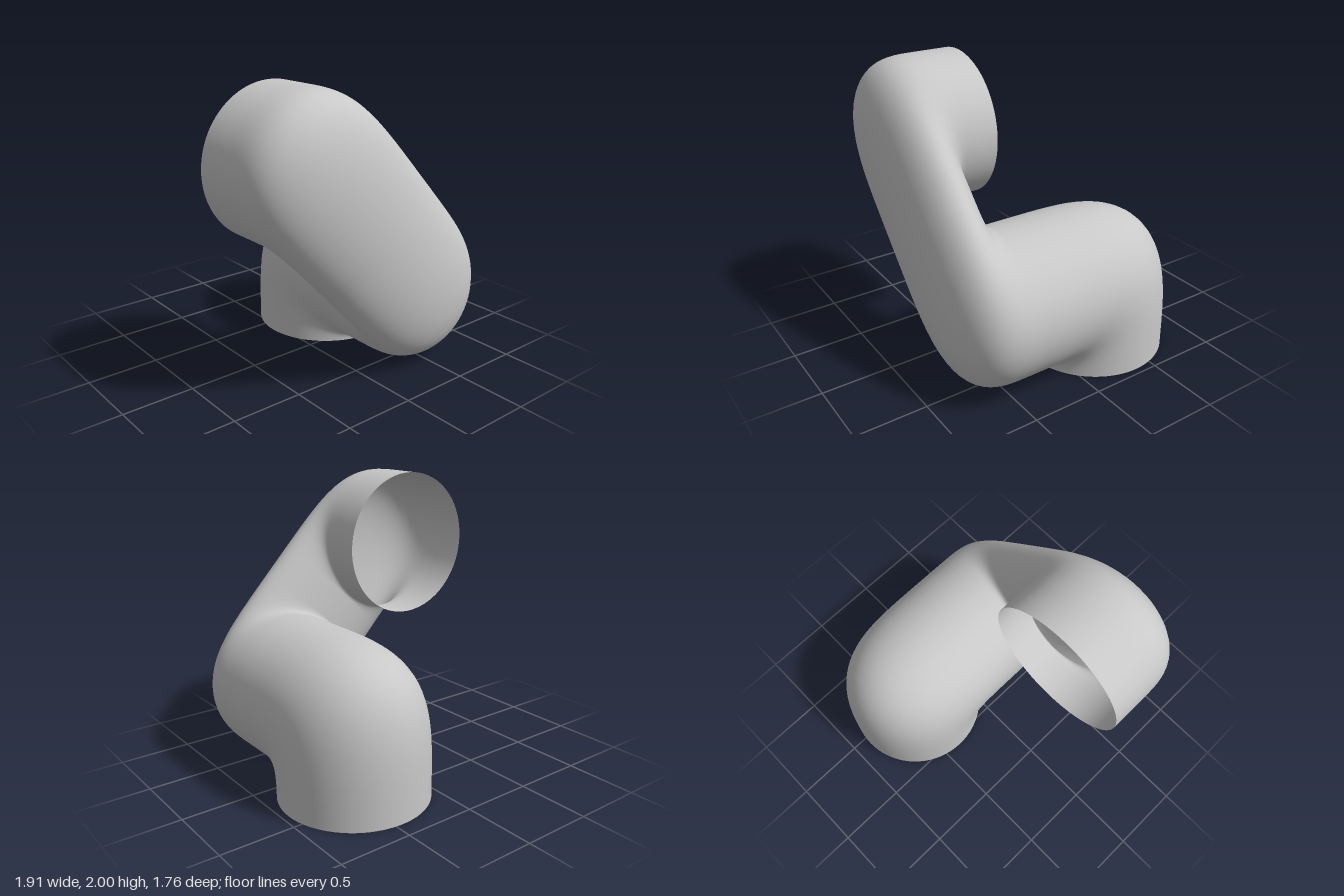
import * as THREE from 'three';

const R = 0.51;       // pipe radius
const FLAT = 0.463;   // depth of the flattened diagonal run
const SIDES = 72, STEPS = 28;
const V = (x, y, z) => new THREE.Vector3(x, y, z);

// One cross-section: inner point, vector across to the outer point, half-width axis
function ring(inner, across, w, turn) {
  const pts = [];
  const centre = inner.clone().addScaledVector(across, 0.5);
  for (let j = 0; j < SIDES; j++) {
    const t = (j / SIDES) * Math.PI * 2 + turn;
    pts.push(centre.clone()
      .addScaledVector(across, 0.5 * Math.cos(t))
      .addScaledVector(w, R * Math.sin(t)));
  }
  return pts;
}

// Tight elbow: sections swing about the inner corner, outer side follows a squarish arc
function elbow(corner, u, v, a, b, w, turn) {
  const rings = [], n = 3.9, e = 0.03;
  const pivot = corner.clone().addScaledVector(u, -e).addScaledVector(v, -e);
  for (let i = 0; i <= STEPS; i++) {
    const f = (i / STEPS) * Math.PI / 2;
    const c = i === STEPS ? 0 : Math.cos(f), s = Math.sin(f);
    const k = 1 / Math.pow(c ** n + s ** n, 1 / n);
    const inner = pivot.clone().addScaledVector(u, e * c).addScaledVector(v, e * s);
    const outer = pivot.clone().addScaledVector(u, (a + e) * c * k).addScaledVector(v, (b + e) * s * k);
    rings.push(ring(inner, outer.sub(inner), w, turn));
  }
  return rings;
}

function loft(rings) {
  const pos = [], idx = [];
  rings.forEach(r => r.forEach(p => pos.push(p.x, p.y, p.z)));
  for (let i = 0; i < rings.length - 1; i++) {
    for (let j = 0; j < SIDES; j++) {
      const k = (j + 1) % SIDES;
      const a = i * SIDES + j, b = i * SIDES + k, c = a + SIDES, d = b + SIDES;
      idx.push(a, c, b, b, c, d);
    }
  }
  const g = new THREE.BufferGeometry();
  g.setAttribute('position', new THREE.Float32BufferAttribute(pos, 3));
  g.setIndex(idx);
  g.computeVertexNormals();
  return g;
}

export function createModel() {
  const group = new THREE.Group();
  group.name = 'bentPipe';
  const grey = new THREE.MeshStandardMaterial({ color: 0xc8c8c8, side: THREE.DoubleSide });
  grey.name = 'light grey';

  const low = V(0.446, 0.537, 0.42), high = V(-0.448, 1.49, 0.42);
  const down = low.clone().sub(high).normalize();   // along the diagonal run
  const up = down.clone().negate();
  const w = V(down.y, -down.x, 0);
  const turn = Math.atan2(down.y, down.x) - Math.PI / 2;
  const X = V(1, 0, 0), Y = V(0, 1, 0), Z = V(0, 0, 1), back = V(0, 0, -1);
  const footFront = low.y - R;

  const rings = [
    // base rim and elbow from upright to forward
    ring(V(low.x, 0, 0.14), V(0, 0, -2 * R), X, 0),
    ...elbow(V(low.x, footFront, 0.14), back, Y, 2 * R, 2 * R, X, 0),
    // elbow from forward into the diagonal
    ...elbow(low.clone().addScaledVector(up, R), down, Z, 2 * R, FLAT, w, turn),
    // elbow from the diagonal to the rear-facing mouth
    ...elbow(high.clone().addScaledVector(down, R), Z, up, FLAT, 2 * R, w, turn),
    // open mouth rim
    ring(V(high.x, high.y, 0.16).addScaledVector(down, R), up.clone().multiplyScalar(2 * R), w, turn),
  ];
  const pipe = new THREE.Mesh(loft(rings), grey);
  pipe.name = 'pipe';
  group.add(pipe);

  // closed foot
  const cap = new THREE.Mesh(new THREE.CircleGeometry(R, SIDES).rotateX(Math.PI / 2), grey);
  cap.name = 'baseCap';
  cap.position.set(low.x, 0, 0.14 - R);
  group.add(cap);
  return group;
}
